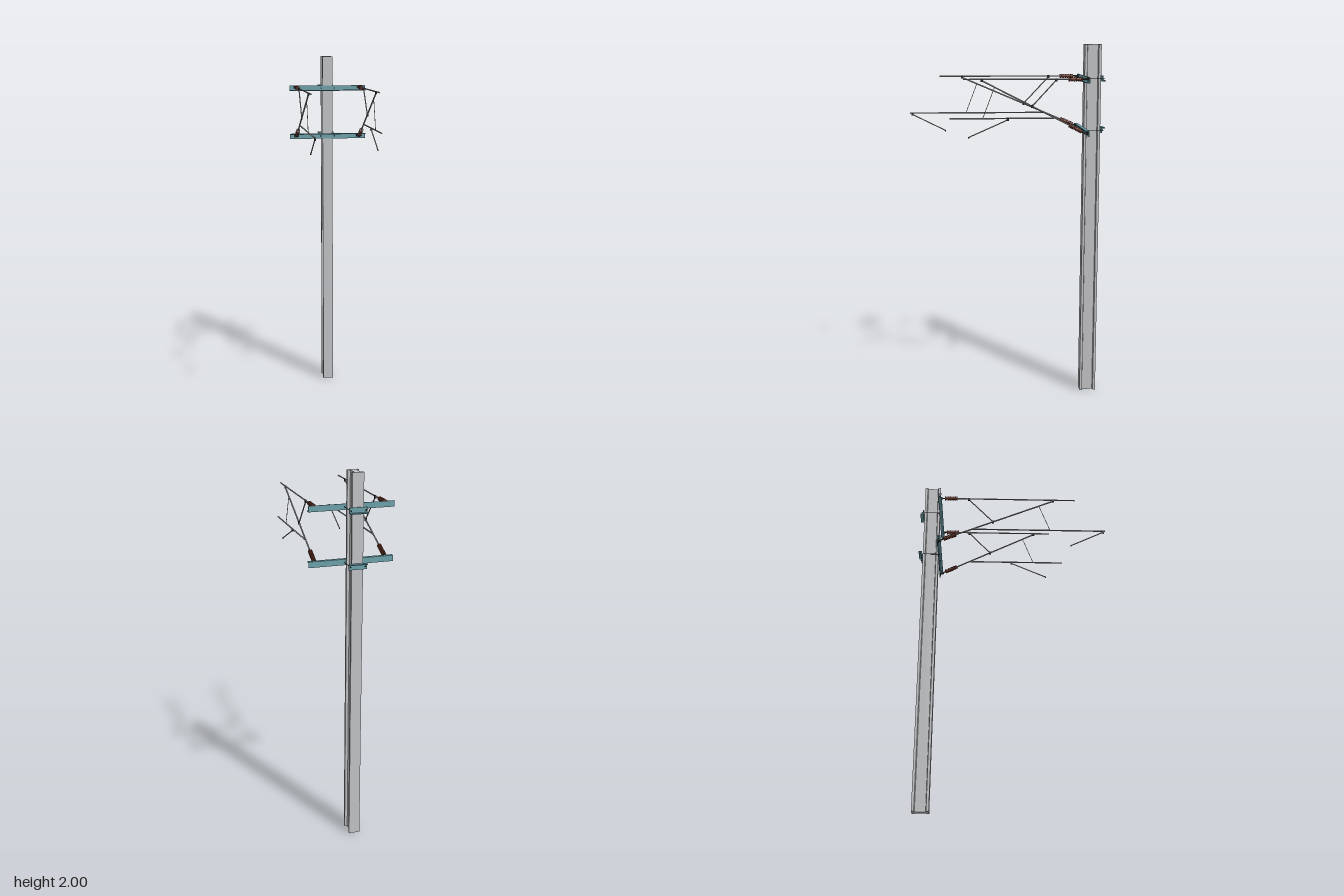
import * as THREE from 'three';

const mat = (name, color) => {
  const m = new THREE.MeshStandardMaterial({ color });
  m.name = name;
  return m;
};

export function createModel() {
  const concrete = mat('concrete', 0xc0c1c4);
  const teal = mat('painted steel', 0x6a9fa9);
  const steel = mat('galvanised steel', 0xa2a4a4);
  const dark = mat('dark fittings', 0x222324);
  const brown = mat('brown ceramic', 0x713626);

  const root = new THREE.Group();
  root.name = 'catenaryMast';

  const add = (parent, name, geo, material, x = 0, y = 0, z = 0) => {
    const m = new THREE.Mesh(geo, material);
    m.name = name;
    m.position.set(x, y, z);
    parent.add(m);
    return m;
  };
  const box = (parent, name, material, w, h, d, x, y, z) =>
    add(parent, name, new THREE.BoxGeometry(w, h, d), material, x, y, z);

  // Round bar between two [z, y] points in the plane of its parent
  const UP = new THREE.Vector3(0, 1, 0);
  const bar = (parent, name, material, a, b, r, x = 0, sides = 24) => {
    const p = new THREE.Vector3(x, a[1], a[0]);
    const q = new THREE.Vector3(x, b[1], b[0]);
    const d = q.clone().sub(p);
    const m = add(parent, name, new THREE.CylinderGeometry(r, r, d.length(), sides), material);
    m.position.copy(p).add(q).multiplyScalar(0.5);
    m.quaternion.setFromUnitVectors(UP, d.normalize());
    return m;
  };

  // H-section pole
  const quarter = [[0.03, 0.046], [0.03, 0.032], [0.016, 0.029]];
  const outline = [
    ...quarter,
    ...quarter.map(([x, y]) => [x, -y]).reverse(),
    ...quarter.map(([x, y]) => [-x, -y]),
    ...quarter.map(([x, y]) => [-x, y]).reverse(),
  ].map(([x, y]) => new THREE.Vector2(x, y));
  const poleGeo = new THREE.ExtrudeGeometry(new THREE.Shape(outline), { depth: 2, bevelEnabled: false });
  poleGeo.rotateX(-Math.PI / 2);
  add(root, 'pole', poleGeo, concrete, 0, 0, -0.472);

  // Angle-iron crossarms clamped to the pole; flange at bottom (upper) or top (lower)
  const T = 0.005, H = 0.031, D = 0.02;
  const angle = (parent, name, length, zWall, out, y, flange) => {
    box(parent, name + 'Web', teal, length, H, T, 0, y, zWall + out * T / 2);
    box(parent, name + 'Flange', teal, length, T, D - T, 0, y + flange * (H - T) / 2, zWall + out * (T + D) / 2);
  };
  for (const [name, y, flange] of [['upper', 1.815, -1], ['lower', 1.531, 1]]) {
    const g = new THREE.Group();
    g.name = name + 'Crossarm';
    root.add(g);
    angle(g, 'frontArm', 0.452, -0.427, 1, y, flange);
    angle(g, 'backClamp', 0.094, -0.522, -1, y, flange);
    for (const x of [-0.039, 0.039]) {
      bar(g, 'tieRod', dark, [-0.535, y], [-0.416, y], 0.0017, x, 16);
      bar(g, 'frontNut', dark, [-0.422, y], [-0.418, y], 0.004, x, 6);
      bar(g, 'backNut', dark, [-0.531, y], [-0.527, y], 0.004, x, 6);
    }
  }

  // Ribbed insulator running from the crossarm towards a target point
  const insulator = (parent, name, start, target) => {
    const g = new THREE.Group();
    g.name = name;
    const d = new THREE.Vector3(0, target[1] - start[1], target[0] - start[0]).normalize();
    g.position.set(0, start[1], start[0]);
    g.quaternion.setFromUnitVectors(UP, d);
    parent.add(g);
    const cyl = (part, material, r, h, y) =>
      add(g, part, new THREE.CylinderGeometry(r, r, h, 24), material, 0, y, 0);
    cyl('core', brown, 0.007, 0.074, 0.061);
    for (let i = 0; i < 8; i++) cyl('shed', brown, 0.0118, 0.0058, 0.027 + i * 0.0098);
    cyl('endFitting', dark, 0.004, 0.026, 0.011);
  };

  // One bracket: tubes, struts, hanger and steady arm; points are [z, y]
  const cantilever = (name, x, s) => {
    const g = new THREE.Group();
    g.name = name;
    g.position.x = x;
    root.add(g);
    const topY = 1.82, lowY = 1.613, base = [-0.412, s.baseY];
    const along = (z) => [z, base[1] + (s.apex[1] - base[1]) * (z - base[0]) / (s.apex[0] - base[0])];

    // Mounting lugs on the crossarms
    for (const [y, ly] of [[topY, 1.82], [base[1], 1.533]]) {
      box(g, 'mountPlate', dark, 0.03, 0.014, 0.004, 0, ly, -0.42);
      box(g, 'mountLug', dark, 0.008, 0.01, 0.018, 0, y, -0.41);
    }
    insulator(g, 'upperInsulator', [-0.415, topY], [0, topY]);
    insulator(g, 'lowerInsulator', base, s.apex);

    // Tubes
    bar(g, 'topTube', steel, [-0.32, topY], [s.topEnd, topY], 0.0036);
    bar(g, 'diagonalTube', steel, along(-0.325), s.apex, 0.004);
    bar(g, 'registrationTube', steel, [s.lowStart, lowY], [s.lowEnd, lowY], 0.0038);
    bar(g, 'strut', steel, [-0.25, topY - 0.005], along(s.strutZ), 0.0032);
    bar(g, 'hangerRod', steel, along(s.hang[0]), [s.hang[1], lowY], 0.0017);

    // Steady arm with its wire clip
    bar(g, 'steadyArm', steel, [s.steady[0], 1.605], [s.steady[1], 1.513], 0.003);
    box(g, 'wireClip', dark, 0.006, 0.008, 0.006, 0, 1.512, s.steady[1]);

    // Clamps where tubes meet
    const clamp = (z, y, h = 0.016) => box(g, 'clamp', dark, 0.0095, h, 0.0115, 0, y, z);
    clamp(-0.25, topY - 0.004);
    clamp(s.apex[0], topY - 0.005);
    clamp(s.steady[0], lowY - 0.006);
    clamp(...along(s.strutZ));
  };

  cantilever('longCantilever', -0.188, {
    baseY: 1.536, apex: [0.243, 1.813], topEnd: 0.37, lowStart: -0.225, lowEnd: 0.541,
    strutZ: -0.108, hang: [0.159, 0.222], steady: [0.527, 0.34],
  });
  cantilever('shortCantilever', 0.188, {
    baseY: 1.53, apex: [0.147, 1.813], topEnd: 0.245, lowStart: -0.24, lowEnd: 0.32,
    strutZ: -0.122, hang: [0.079, 0.143], steady: [0.009, 0.218],
  });

  return root;
}
